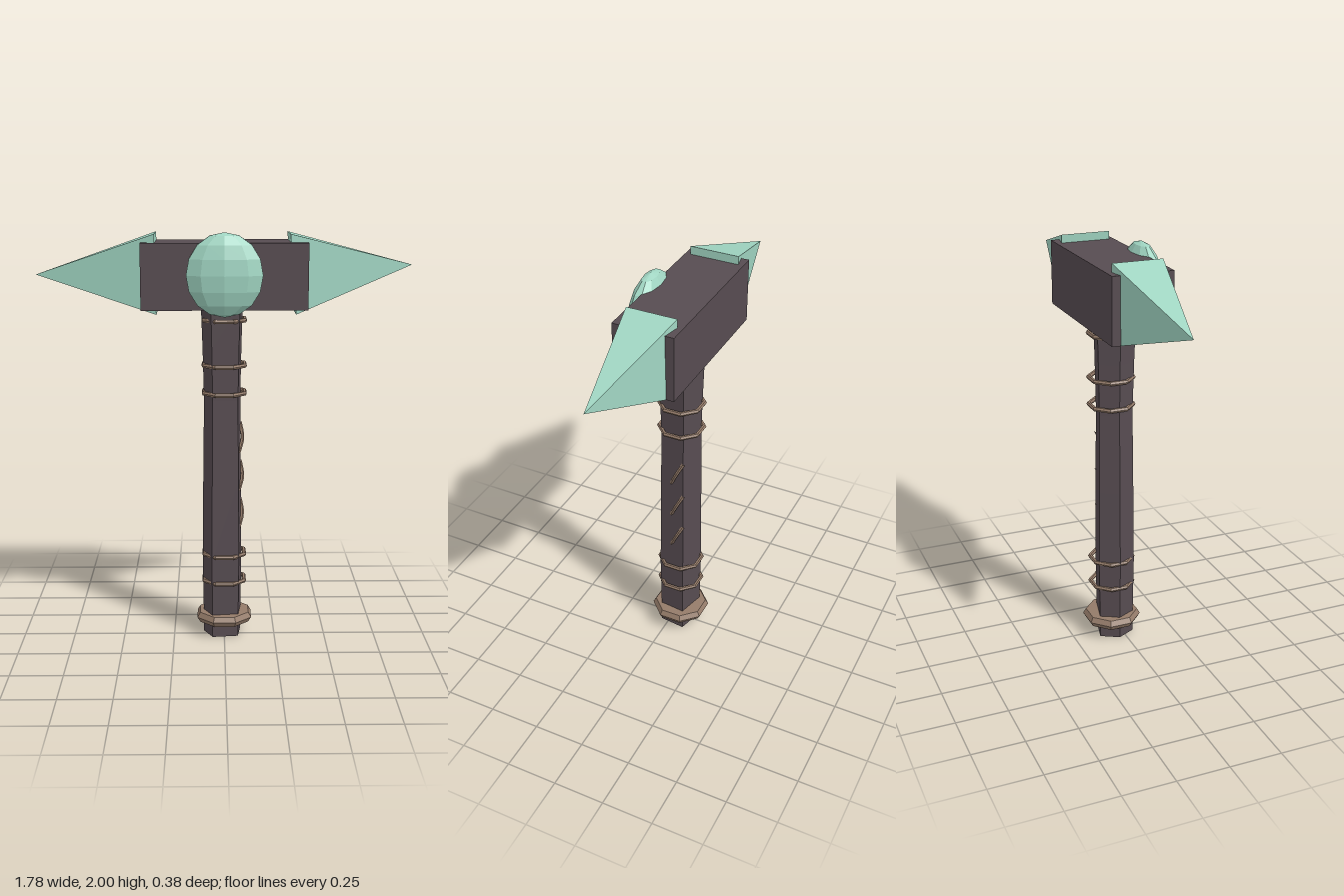
import * as THREE from 'three';
import { ConvexGeometry } from 'three/addons/geometries/ConvexGeometry.js';

const CZ = -0.04; // z of the handle and head axis

const mat = (name, color) => {
  const m = new THREE.MeshStandardMaterial({ color });
  m.name = name;
  return m;
};

// Gives every triangle its own normal for the faceted look
function faceted(geometry) {
  const g = geometry.index ? geometry.toNonIndexed() : geometry;
  g.computeVertexNormals();
  return g;
}

// Stacks scaled copies of a corner loop along y, with caps at both ends
function loft(corners, sections) {
  const n = corners.length;
  const pos = [], idx = [];
  for (const [y, s] of sections) for (const [x, z] of corners) pos.push(x * s, y, z * s);
  for (let r = 0; r < sections.length - 1; r++) {
    for (let i = 0; i < n; i++) {
      const a = r * n + i, b = r * n + (i + 1) % n;
      idx.push(a, b, b + n, a, b + n, a + n);
    }
  }
  const top = (sections.length - 1) * n;
  for (let i = 1; i < n - 1; i++) {
    idx.push(0, i + 1, i);
    idx.push(top, top + i, top + i + 1);
  }
  const g = new THREE.BufferGeometry();
  g.setAttribute('position', new THREE.Float32BufferAttribute(pos, 3));
  g.setIndex(idx);
  return g;
}

// Four-sided spike from a slightly tilted base to its tip
function spike(topX, bottomX, tipX, tipY) {
  const points = [new THREE.Vector3(tipX, tipY, -0.045)];
  for (const z of [0.075, -0.165]) {
    points.push(new THREE.Vector3(topX, 1.99, z), new THREE.Vector3(bottomX, 1.618, z));
  }
  return new ConvexGeometry(points);
}

export function createModel() {
  const model = new THREE.Group();
  model.name = 'warHammer';
  const dark = mat('darkWood', 0x574c51);
  const mint = mat('mintCrystal', 0xa0d5c2);
  const tan = mat('tanLeather', 0x947b69);

  const add = (name, geometry, material, x = 0, y = 0, z = 0) => {
    const mesh = new THREE.Mesh(faceted(geometry), material);
    mesh.name = name;
    mesh.position.set(x, y, z);
    model.add(mesh);
    return mesh;
  };

  // Rough five-sided handle, narrower in the middle
  const corners = [[-0.06, 0.095], [0.07, 0.08], [0.085, -0.05], [-0.055, -0.085], [-0.105, 0.005]];
  add('handle', loft(corners, [
    [0, 0.97], [0.12, 0.98], [0.4, 1.02], [0.8, 0.98], [1.2, 0.93], [1.45, 0.99], [1.66, 1.06],
  ]), dark, 0, 0, CZ);

  // Head block
  add('headBlock', new THREE.BoxGeometry(0.78, 0.31, 0.29), dark, 0, 1.795, -0.045);

  // Crystal spikes on both ends
  add('rightSpike', spike(-0.325, -0.318, -0.89, 1.795), mint);
  add('leftSpike', spike(0.305, 0.335, 0.89, 1.84), mint);

  // Flattened round gem on the front
  const gem = new THREE.SphereGeometry(1, 10, 8);
  gem.rotateY(Math.PI / 10);
  // place a column of corners at the very front
  gem.rotateY(-Math.PI / 10 + Math.PI / 2);
  gem.scale(0.187, 0.195, 0.076);
  add('frontGem', gem, mint, 0, 1.805, 0.113);

  // Thin bindings around the handle
  for (const y of [0.28, 0.418, 1.23, 1.365, 1.582]) {
    const ring = new THREE.TorusGeometry(0.106, 0.011, 6, 8);
    ring.rotateX(Math.PI / 2);
    ring.rotateY(Math.PI / 8);
    add('binding', ring, tan, 0, y, CZ);
  }

  // Thick collar near the foot
  const profile = [[0.06, 0.062], [0.13, 0.065], [0.145, 0.09], [0.13, 0.115], [0.06, 0.118]];
  const collar = new THREE.LatheGeometry(profile.map(([x, y]) => new THREE.Vector2(x, y)), 8);
  collar.rotateY(Math.PI / 8);
  add('footCollar', collar, tan, 0, 0, CZ);

  // Slanted stitches on the left side of the handle
  for (const y of [0.615, 0.807, 1.0]) {
    const path = new THREE.CatmullRomCurve3([
      new THREE.Vector3(0.07, y - 0.07, -0.02),
      new THREE.Vector3(0.09, y, -0.053),
      new THREE.Vector3(0.078, y + 0.07, -0.088),
    ]);
    add('stitch', new THREE.TubeGeometry(path, 5, 0.009, 5), tan);
  }

  return model;
}
